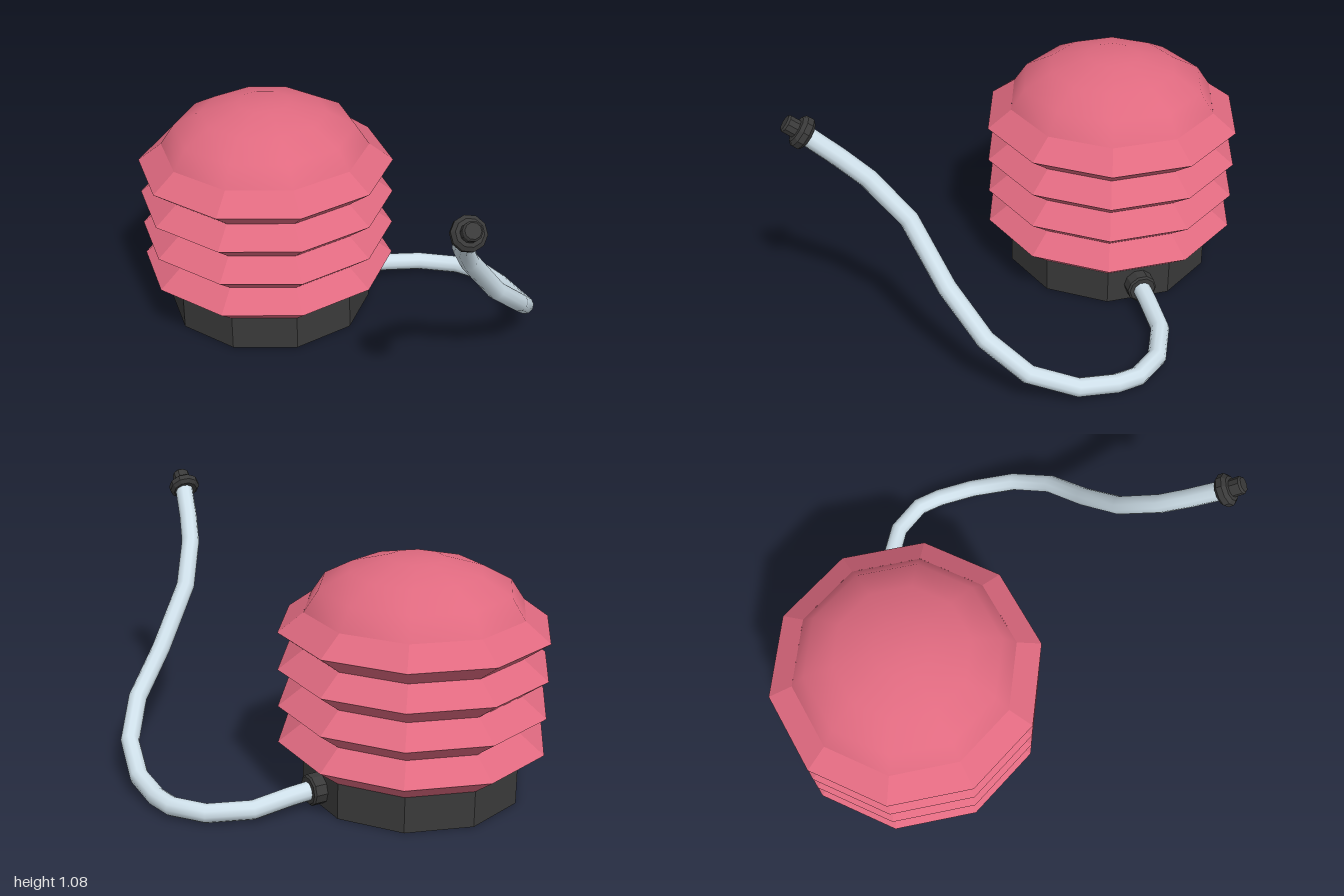
import * as THREE from 'three';

const SIDES = 10;
const material = (color, flatShading) => new THREE.MeshStandardMaterial({ color, flatShading });

// Ten-sided turned part; profile runs from bottom to top
function turned(name, profile, mat) {
  const points = profile.map(([r, y]) => new THREE.Vector2(r, y));
  const mesh = new THREE.Mesh(new THREE.LatheGeometry(points, SIDES), mat);
  mesh.name = name;
  return mesh;
}

// Turn a part's own y axis towards a direction
function aim(mesh, position, direction) {
  mesh.position.set(...position);
  mesh.quaternion.setFromUnitVectors(new THREE.Vector3(0, 1, 0), new THREE.Vector3(...direction).normalize());
  return mesh;
}

export function createModel() {
  const model = new THREE.Group();
  model.name = 'bellowsPump';
  const black = material(0x3a3a3a, true);
  const pinkFlat = material(0xe06a80, true);
  const pinkSmooth = material(0xe06a80, false);
  const pale = material(0xcfe0ea, false);

  const body = new THREE.Group();
  body.name = 'body';
  body.position.set(-0.262, 0, -0.447);
  model.add(body);

  // Base
  body.add(turned('base', [[0, 0], [0.45, 0], [0.45, 0.151], [0, 0.151]], black));

  // Four accordion folds
  const folds = [];
  for (let i = 0; i <= 8; i++) folds.push([i % 2 ? 0.553 : 0.45, 0.151 + i * 0.0773]);
  body.add(turned('bellows', folds, pinkFlat));

  // Domed top
  body.add(turned('dome', [[0.45, 0.769], [0.392, 0.856], [0.272, 0.921], [0.114, 0.967], [0, 0.968]], pinkSmooth));

  // Hose outlet on the base
  const outlet = turned('outlet', [[0.064, 0], [0.064, 0.085], [0.056, 0.092], [0, 0.092]], black);
  model.add(aim(outlet, [0.13, 0.076, -0.447], [1, 0, 0]));

  // Hose, with one ring at every path point
  const path = [
    [0.18, 0.076, -0.447], [0.3, 0.067, -0.445], [0.46, 0.046, -0.44], [0.625, 0.038, -0.365],
    [0.72, 0.04, -0.25], [0.744, 0.045, -0.15], [0.75, 0.066, 0.01], [0.71, 0.143, 0.2],
    [0.61, 0.267, 0.345], [0.45, 0.425, 0.455], [0.28, 0.655, 0.56], [0.19, 0.81, 0.695],
    [0.155, 0.895, 0.79], [0.118, 1.0, 0.915],
  ].map((p) => new THREE.Vector3(...p));
  const curve = new THREE.CatmullRomCurve3(path);
  curve.getPointAt = (t, target) => curve.getPoint(t, target);
  curve.getTangentAt = (t, target) => curve.getTangent(t, target);
  const hose = new THREE.Mesh(new THREE.TubeGeometry(curve, path.length - 1, 0.039, 10), pale);
  hose.name = 'hose';
  model.add(hose);

  // Nozzle: collar and tip
  const nozzle = turned('nozzle', [
    [0, -0.026], [0.052, -0.026], [0.067, -0.012], [0.067, 0.012], [0.052, 0.026],
    [0.037, 0.028], [0.037, 0.07], [0.03, 0.078], [0, 0.078],
  ], black);
  model.add(aim(nozzle, [0.114, 1.005, 0.92], [-0.12, 0.6, 0.79]));

  return model;
}
